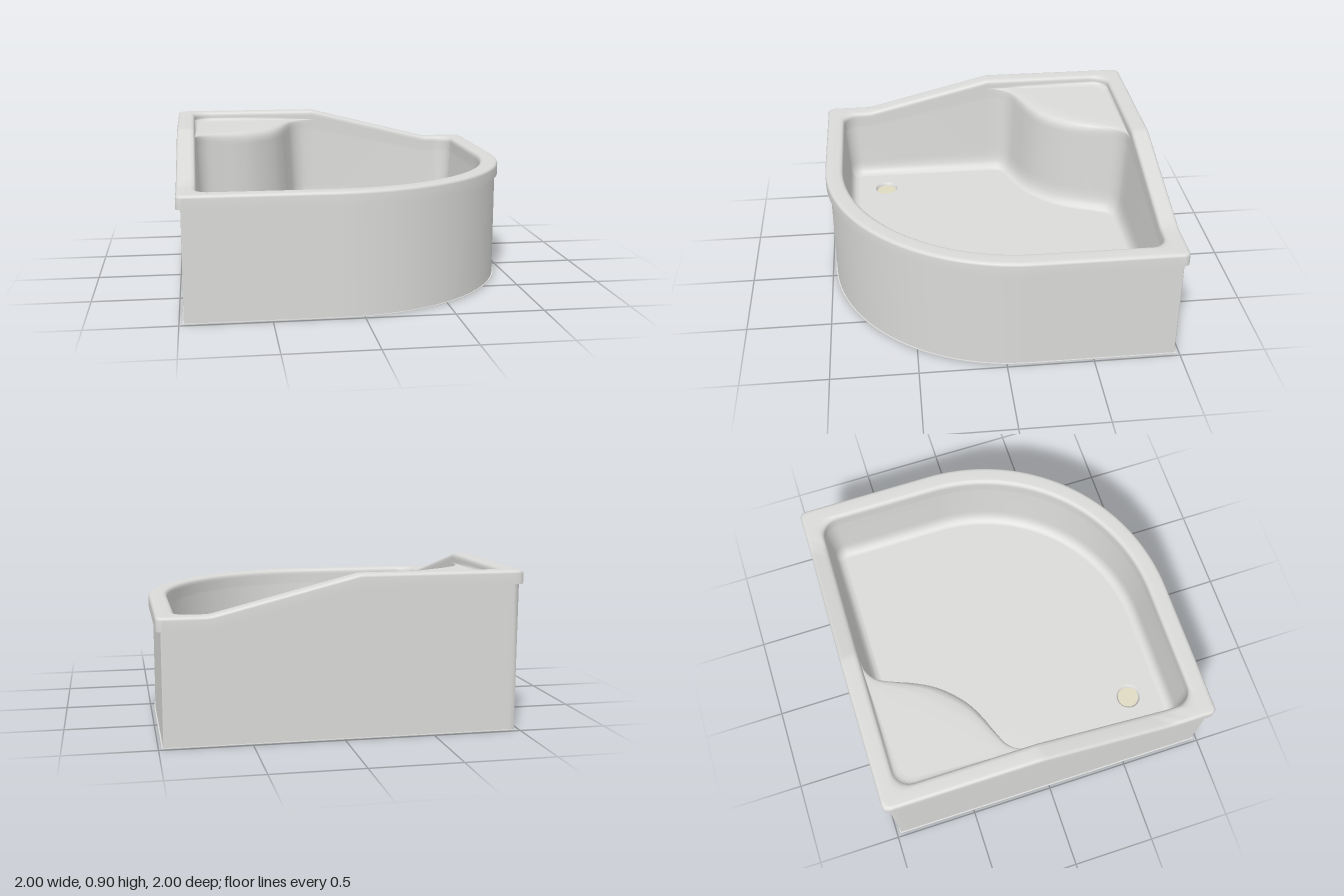
import * as THREE from 'three';

const acrylic = new THREE.MeshStandardMaterial({ color: 0xdadad8 });
acrylic.name = 'greyAcrylic';
const beige = new THREE.MeshStandardMaterial({ color: 0xdfdac1 });
beige.name = 'beige';

const SKIRT_ARC = -0.12, RIM_ARC = -0.16; // centres of the big front curve (x and z)
const SEAT_END = -0.08;           // where the seat curve meets the walls
const FLOOR = 0.25, SEAT = 0.84, TOP = 0.865;
const WALL = 0.108, WALL_R = 0.1; // inset and corner radius of the inner wall
const DRAIN = { x: -0.645, z: 0.633, r: 0.075 };

// Quarter-circle shower outline inset by d with corner radius r, as [x, z] Vector2 points.
// o is the centre of the front curve; seatCurve optionally replaces the back corner.
function outline(d, r, o, seatCurve) {
  const e = 1 - d, c = e - r, pts = [];
  const add = (list) => pts.push(...list.slice(0, -1));
  const line = (x0, z0, x1, z1, n) =>
    add(new THREE.LineCurve(new THREE.Vector2(x0, z0), new THREE.Vector2(x1, z1)).getPoints(n));
  const arc = (x, z, rad, a0, a1, n) =>
    add(new THREE.EllipseCurve(x, z, rad, rad, a0, a1, a1 < a0).getPoints(n));
  const H = Math.PI / 2;

  if (seatCurve) add(seatCurve.getSpacedPoints(64));
  else {
    const corner = new THREE.Path();
    corner.moveTo(SEAT_END, -e);
    corner.lineTo(-c, -e);
    corner.absarc(-c, -c, r, 3 * H, 2 * H, true);
    corner.lineTo(-e, SEAT_END);
    add(corner.getSpacedPoints(64));
  }
  line(-e, SEAT_END, -e, c, 32);
  arc(-c, c, r, 2 * H, H, 8);
  line(-c, e, o, e, 12);
  arc(o, o, e - o, H, 0, 40);
  line(e, o, e, -c, 12);
  arc(c, -c, r, 0, -H, 8);
  line(c, -e, SEAT_END, -e, 32);
  return pts;
}

// Rim height: high around the seat corner, sloping down to the front curve
function rimHeight(p) {
  const u = Math.max(p.x, p.y) + Math.max(0, Math.min(p.x, p.y) + 0.8);
  return 0.9 - 0.2 * THREE.MathUtils.clamp((u + 0.08) / 0.8, 0, 1);
}

// Shift a loop inward along its own normals
function offset(loop, d) {
  const n = loop.length;
  return loop.map((p, i) => {
    const t = loop[(i + 1) % n].clone().sub(loop[(i + n - 1) % n]).normalize();
    return new THREE.Vector2(p.x + t.y * d, p.y - t.x * d);
  });
}

// Skin a list of rings { loop, y }, where y is a number or a function of (point, index)
function loft(rings, name) {
  const n = rings[0].loop.length, pos = [], idx = [];
  rings.forEach(({ loop, y }) => loop.forEach((p, j) =>
    pos.push(p.x, typeof y === 'function' ? y(p, j) : y, p.y)));
  for (let i = 0; i < rings.length - 1; i++) {
    for (let j = 0; j < n; j++) {
      const a = i * n + j, b = i * n + (j + 1) % n;
      idx.push(a, b, a + n, b, b + n, a + n);
    }
  }
  const g = new THREE.BufferGeometry();
  g.setAttribute('position', new THREE.Float32BufferAttribute(pos, 3));
  g.setIndex(idx);
  g.computeVertexNormals();
  const mesh = new THREE.Mesh(g, acrylic);
  mesh.name = name;
  return mesh;
}

// Flat filled outline at height y, facing up or down
function plate(loop, y, material, name, up, hole) {
  const s = up ? -1 : 1;
  const shape = new THREE.Shape(loop.map((p) => new THREE.Vector2(p.x, s * p.y)));
  if (hole) shape.holes.push(new THREE.Path().absarc(hole.x, s * hole.z, hole.r, 0, Math.PI * 2, true));
  const g = new THREE.ShapeGeometry(shape, 24);
  g.rotateX(s * Math.PI / 2);
  g.translate(0, y, 0);
  const mesh = new THREE.Mesh(g, material);
  mesh.name = name;
  return mesh;
}

export function createModel() {
  const group = new THREE.Group();
  group.name = 'cornerShowerTray';

  // Skirt panel with a thin foot ring, open underneath
  const [skirt, foot, inside] = [0.026, 0.018, 0.1].map((d) => outline(d, 0.006, SKIRT_ARC));
  const below = (k) => (p) => rimHeight(p) - k;
  group.add(
    loft([{ loop: skirt, y: 0.003 }, { loop: skirt, y: below(0.03) }], 'skirtPanel'),
    loft([{ loop: foot, y: 0 }, { loop: foot, y: 0.003 }], 'footEdge'),
    loft([{ loop: foot, y: 0.003 }, { loop: skirt, y: 0.003 }], 'footTop'),
    loft([{ loop: inside, y: 0 }, { loop: foot, y: 0 }], 'footUnderside'),
    loft([{ loop: inside, y: 0.13 }, { loop: inside, y: 0 }], 'skirtInside'),
    plate(inside, 0.13, beige, 'basePlate', false),
  );

  // Rolled rim that follows the sloping height, open below like a lip
  const rimProfile = [
    [0, 0.075], [0, 0.018], [0.004, 0.008], [0.012, 0.002], [0.024, 0],
    [0.08, 0], [0.095, 0.003], [0.104, 0.01], [WALL, 0.022], [WALL, 0.035],
  ];
  const rimLoop = (d) => outline(d, Math.max(0.035, d * WALL_R / WALL), RIM_ARC);
  group.add(loft(rimProfile.map(([d, k]) => ({ loop: rimLoop(d), y: below(k) })), 'rim'));

  // S-shaped front of the corner seat, mirrored about the diagonal
  const half = [[SEAT_END, -0.892], [-0.165, -0.88], [-0.23, -0.83], [-0.275, -0.73],
    [-0.313, -0.63], [-0.365, -0.53]];
  const sPoints = [...half, [-0.44, -0.44], ...half.map(([x, z]) => [z, x]).reverse()];
  const seatCurve = new THREE.SplineCurve(sPoints.map(([x, z]) => new THREE.Vector2(x, z)));

  // Seat and basin: one skin from the rim, over the seat, down to the floor.
  // Heights shrink in proportion where the rim is lower.
  const wall = rimLoop(WALL), basin = outline(WALL, WALL_R, RIM_ARC, seatCurve);
  const scaled = (y) => (p, j) => {
    const top = Math.min(rimHeight(wall[j]) - 0.035, TOP);
    return FLOOR + (y - FLOOR) * (top - FLOOR) / (TOP - FLOOR);
  };
  // seat with a rounded nose: [fraction from wall to seat front, height]
  const seatProfile = [[0, TOP], [0, 0.852], [0.04, SEAT + 0.003], [0.1, SEAT], [0.5, SEAT],
    [0.8, 0.838], [0.91, 0.833], [0.955, 0.823], [0.98, 0.808], [0.994, 0.787], [1, 0.76]];
  const rings = seatProfile.map(([t, y]) => (
    { loop: wall.map((p, j) => p.clone().lerp(basin[j], t)), y: scaled(y) }));
  // sloping wall and floor fillet: [inset, height above floor]
  [[0.018, 0.13], [0.021, 0.09], [0.027, 0.055], [0.038, 0.025], [0.055, 0.006], [0.074, 0]]
    .forEach(([d, h]) => rings.push({ loop: offset(basin, d), y: scaled(FLOOR + h) }));
  const floorLoop = offset(basin, 0.077);
  rings.push({ loop: floorLoop, y: FLOOR });
  group.add(loft(rings, 'seatAndBasin'));
  group.add(plate(floorLoop, FLOOR, acrylic, 'basinFloor', true, DRAIN));

  // Drain recess and cover
  const circle = (r) => new THREE.EllipseCurve(DRAIN.x, DRAIN.z, r, r, 0, Math.PI * 2, true)
    .getPoints(40).slice(0, -1);
  group.add(
    loft([{ loop: circle(DRAIN.r), y: FLOOR }, { loop: circle(0.068), y: FLOOR - 0.006 },
      { loop: circle(0.063), y: FLOOR - 0.022 }], 'drainRecess'),
    plate(circle(0.064), FLOOR - 0.02, beige, 'drainCover', true),
  );
  return group;
}
